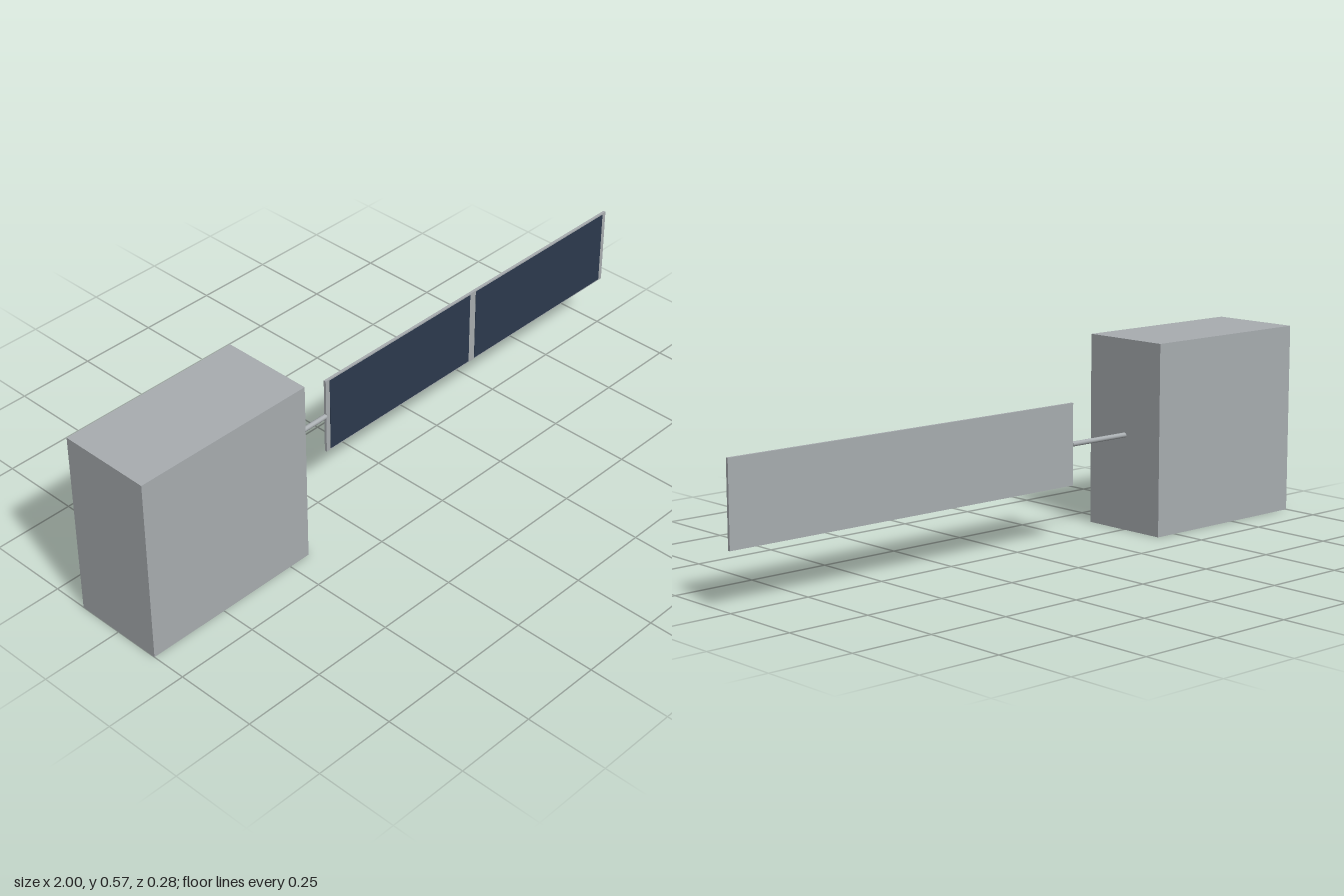
import * as THREE from 'three';

export function createModel() {
  const model = new THREE.Group();
  const metal = new THREE.MeshStandardMaterial({ color: 0xa8adb0 });
  metal.name = 'grey metal';
  const solar = new THREE.MeshStandardMaterial({ color: 0x2c3a4e });
  solar.name = 'dark blue solar cell';
  const midY = 0.2865;

  const add = (name, geometry, material, x, y, z = 0) => {
    const mesh = new THREE.Mesh(geometry, material);
    mesh.name = name;
    mesh.position.set(x, y, z);
    model.add(mesh);
    return mesh;
  };

  // Main box, standing on the ground
  add('body', new THREE.BoxGeometry(0.57, 0.573, 0.284), metal, -0.715, midY);

  // Thin rod joining the body to the panel
  const boom = add('boom', new THREE.CylinderGeometry(0.0075, 0.0075, 0.217, 16), metal, -0.3225, midY);
  boom.rotation.z = Math.PI / 2;

  // Flat panel with two cells on its front
  add('panel', new THREE.BoxGeometry(1.215, 0.243, 0.008), metal, 0.3925, midY);
  for (const side of [-1, 1]) {
    add(side < 0 ? 'innerCell' : 'outerCell', new THREE.BoxGeometry(0.58, 0.235, 0.002),
      solar, 0.3925 + side * 0.3025, midY, 0.004);
  }
  return model;
}
